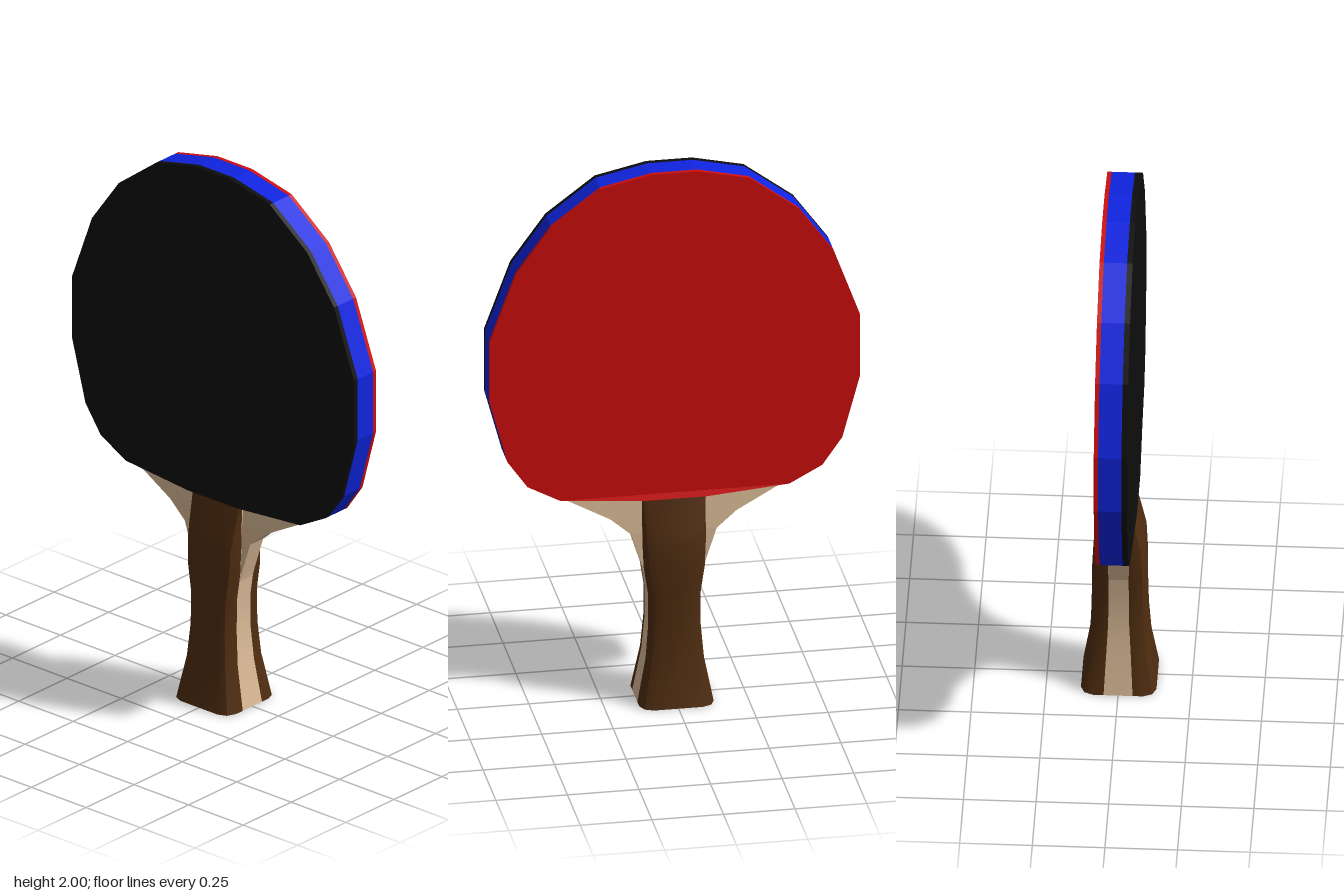
import * as THREE from 'three';
import { toCreasedNormals } from 'three/addons/utils/BufferGeometryUtils.js';

const paint = (name, color) => {
  const m = new THREE.MeshStandardMaterial({ color });
  m.name = name;
  return m;
};

// Skins a stack of rings (counter-clockwise about +y, from bottom to top) and closes both ends.
// Segments listed in accents go into material group 1.
function loft(rings, accents = []) {
  const main = [], accent = [];
  const n = rings[0].length;
  for (let i = 0; i < rings.length - 1; i++) {
    for (let j = 0; j < n; j++) {
      const k = (j + 1) % n;
      const a = rings[i][j], b = rings[i][k], c = rings[i + 1][k], d = rings[i + 1][j];
      (accents.includes(j) ? accent : main).push(...a, ...b, ...c, ...a, ...c, ...d);
    }
  }
  const low = rings[0], top = rings[rings.length - 1];
  for (let j = 1; j < n - 1; j++) {
    main.push(...low[0], ...low[j + 1], ...low[j]);
    main.push(...top[0], ...top[j], ...top[j + 1]);
  }
  const g = new THREE.BufferGeometry();
  g.setAttribute('position', new THREE.Float32BufferAttribute([...main, ...accent], 3));
  if (accents.length) {
    g.addGroup(0, main.length / 3, 0);
    g.addGroup(main.length / 3, accent.length / 3, 1);
  }
  g.computeVertexNormals();
  return g;
}

// Rectangular ring of half width w between depths back and front
const slab = (y, w, back, front) => [[w, y, front], [w, y, back], [-w, y, back], [-w, y, front]];

// Rounded ring whose side faces carry a flat strip of half depth t
function gripRing([y, w, d, t, r]) {
  const q = [[w, t], [w, d - r], [w - 0.3 * r, d - 0.3 * r], [w - r, d]];
  const rev = [...q].reverse();
  return [
    ...q.map(([x, z]) => [x, y, -z]),
    ...rev.map(([x, z]) => [-x, y, -z]),
    ...q.map(([x, z]) => [-x, y, z]),
    ...rev.map(([x, z]) => [x, y, z]),
  ];
}

export function createModel() {
  const group = new THREE.Group();
  const black = paint('black rubber', 0x0d0d0d);
  const red = paint('red rubber', 0xd00d0d);
  const blue = paint('blue edge', 0x1024e0);
  const brown = paint('dark wood', 0x502d10);
  const tan = paint('pale wood', 0xdcbc98);

  const add = (name, geometry, material) => {
    const mesh = new THREE.Mesh(geometry, material);
    mesh.name = name;
    group.add(mesh);
  };

  // Blade outline: height, half width
  const outline = [
    [0.767, 0.11], [0.788, 0.4], [0.85, 0.515], [0.95, 0.585], [1.18, 0.647],
    [1.41, 0.647], [1.66, 0.555], [1.83, 0.432], [1.96, 0.26], [2, 0.08],
  ];
  const flare = (i) => (i === 0 ? 0.007 : 0); // sheets swell slightly at the neck
  add('bladeCore', loft(outline.map(([y, w]) => slab(y, w, -0.042, 0.038))), blue);
  add('frontRubber', loft(outline.map(([y, w], i) => slab(y, w, 0.038, 0.057 + flare(i)))), black);
  add('backRubber', loft(outline.map(([y, w], i) => slab(y, w, -0.057 - flare(i), -0.042))), red);

  // Neck spreading from the handle into the blade: height, half width, half depth
  const neck = [
    [0.42, 0.086, 0.034], [0.5, 0.108, 0.034], [0.63, 0.15, 0.034],
    [0.69, 0.22, 0.03], [0.787, 0.4, 0.022],
  ];
  add('neck', loft(neck.map(([y, w, d]) => slab(y, w, -d, d))), tan);

  // Flared handle: height, half width, half depth, half strip, corner radius
  const grip = [
    [0, 0.13, 0.13, 0.05, 0.045], [0.16, 0.1, 0.105, 0.042, 0.04],
    [0.28, 0.09, 0.097, 0.036, 0.04], [0.4, 0.09, 0.094, 0.035, 0.04],
    [0.5, 0.105, 0.093, 0.035, 0.04], [0.6, 0.11, 0.088, 0.035, 0.04],
    [0.65, 0.11, 0.075, 0.034, 0.03], [0.775, 0.11, 0.04, 0.03, 0.008],
  ];
  add('handle', toCreasedNormals(loft(grip.map(gripRing), [7, 15]), 0.6), [brown, tan]);

  // Check of strip placement: segments 7 and 15 join the two halves of each side face
  return group;
}
